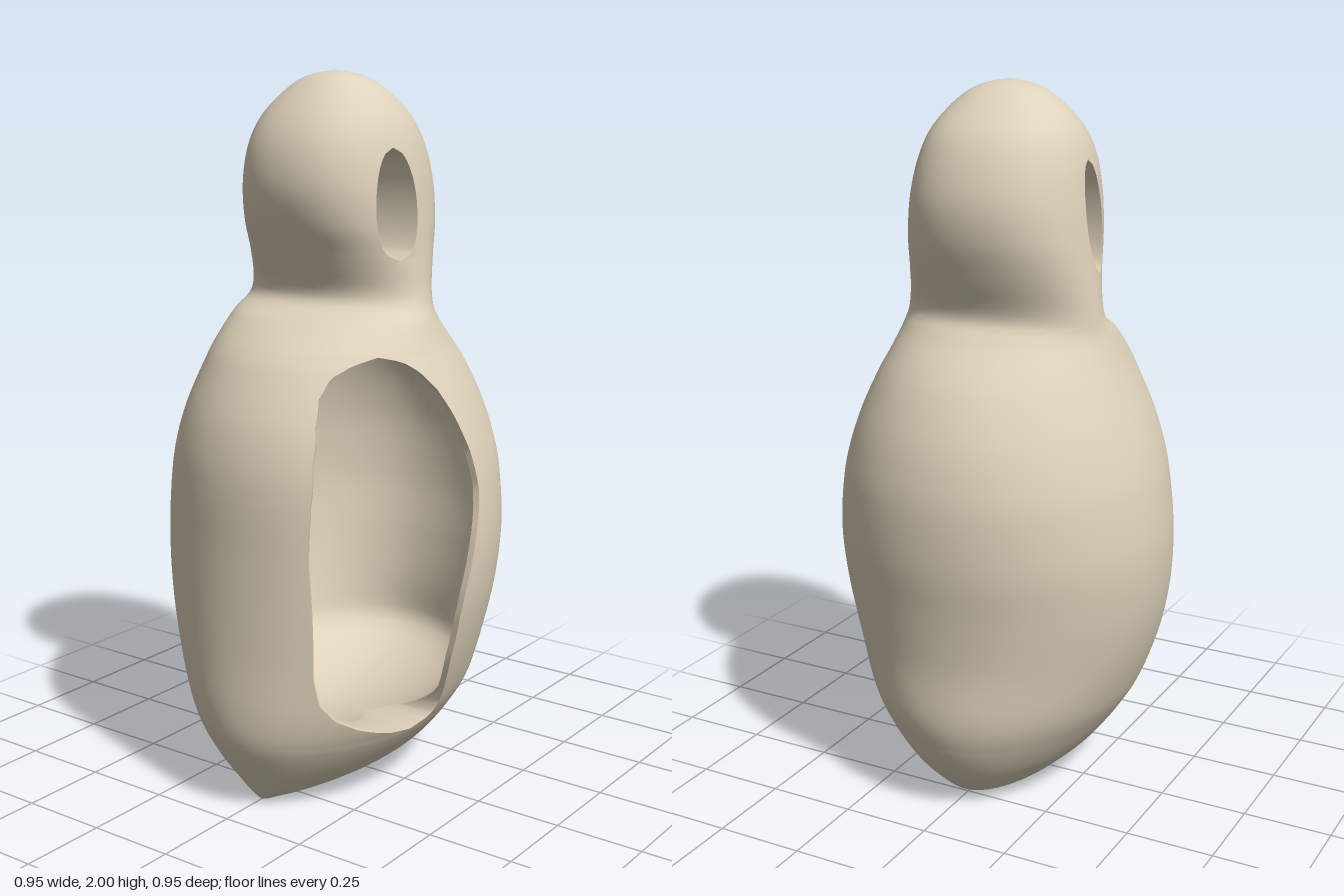
import * as THREE from 'three';
import { toCreasedNormals } from 'three/addons/utils/BufferGeometryUtils.js';

// Cross-sections of the whole form: y, right x, left x, front depth, back depth
const SECTIONS = [
  [0, -0.345, 0.23, 0.05, 0.11], [0.02, -0.36, 0.275, 0.12, 0.155], [0.06, -0.387, 0.32, 0.192, 0.203],
  [0.12, -0.425, 0.37, 0.262, 0.262], [0.205, -0.465, 0.414, 0.33, 0.325], [0.3, -0.477, 0.438, 0.385, 0.38],
  [0.45, -0.472, 0.438, 0.437, 0.436], [0.6, -0.468, 0.452, 0.47, 0.468], [0.75, -0.466, 0.472, 0.478, 0.476],
  [0.9, -0.465, 0.475, 0.463, 0.46], [1.0, -0.455, 0.462, 0.44, 0.438], [1.1, -0.427, 0.432, 0.405, 0.405],
  [1.2, -0.375, 0.38, 0.36, 0.365], [1.265, -0.325, 0.327, 0.328, 0.34], [1.335, -0.23, 0.25, 0.298, 0.317],
  [1.39, -0.125, 0.212, 0.274, 0.302], [1.5, -0.16, 0.252, 0.257, 0.286], [1.6, -0.208, 0.283, 0.248, 0.274],
  [1.7, -0.23, 0.29, 0.237, 0.262], [1.8, -0.217, 0.265, 0.217, 0.243], [1.88, -0.176, 0.22, 0.183, 0.208],
  [1.95, -0.112, 0.139, 0.125, 0.139], [1.985, -0.061, 0.077, 0.07, 0.077], [2, 0, 0, 0, 0],
];
// Edges of the front opening: y, x of one side, x of the other
const OPENING = [
  [0, -0.09, -0.09], [0.205, -0.09, -0.09], [0.215, -0.16, -0.04], [0.23, -0.21, -0.018], [0.26, -0.29, -0.01],
  [0.3, -0.355, -0.018], [0.35, -0.392, -0.03], [0.42, -0.405, -0.045], [0.55, -0.41, -0.052], [0.62, -0.412, -0.045],
  [0.75, -0.415, -0.01], [0.84, -0.412, 0.018], [0.9, -0.408, 0.028], [1.0, -0.395, 0.016], [1.1, -0.367, -0.014],
  [1.17, -0.335, -0.045], [1.22, -0.295, -0.085], [1.25, -0.24, -0.125], [1.265, -0.18, -0.18],
  [1.5, -0.03, -0.03], [1.8, -0.03, -0.03], [2, 0, 0],
];
const SUB = 6, SEG = 40, WALL = 0.018;
const FLOOR = 0.185, ROOF = 1.325; // ends of the cavity

function edgesAt(y) {
  const k = Math.max(1, OPENING.findIndex((o) => o[0] >= y));
  const a = OPENING[k - 1], b = OPENING[k], t = (y - a[0]) / (b[0] - a[0]);
  return [1, 2].map((i) => THREE.MathUtils.lerp(a[i], b[i], t));
}

// Smooth rows between the given sections
function makeRows() {
  const rows = [{ y: 0, cx: -0.06, rx: 1e-4, zf: 0, zb: 0 }], n = SECTIONS.length; // starts at the base centre
  const at = (i) => SECTIONS[THREE.MathUtils.clamp(i, 0, n - 1)];
  for (let i = 0; i < n - 1; i++) {
    for (let s = 0; s < (i === n - 2 ? SUB + 1 : SUB); s++) {
      const t = s / SUB;
      const v = at(i).map((p1, c) => {
        const p0 = at(i - 1)[c], p2 = at(i + 1)[c], p3 = at(i + 2)[c];
        return p1 + 0.5 * t * (p2 - p0 + t * (2 * p0 - 5 * p1 + 4 * p2 - p3 + t * (3 * (p1 - p2) + p3 - p0)));
      });
      rows.push({
        y: THREE.MathUtils.clamp(v[0], 0, 2), cx: (v[1] + v[2]) / 2,
        rx: Math.max(1e-4, (v[2] - v[1]) / 2), zf: Math.max(0, v[3]), zb: Math.max(0, v[4]),
      });
    }
  }
  return rows;
}

// Rounds the cavity off to a bowl below and a dome above
function bowl(y) {
  const q = Math.max(0, (FLOOR + 0.15 - y) / 0.15, (y - ROOF + 0.12) / 0.12);
  return Math.sqrt(Math.max(0, 1 - q * q));
}

// Two arcs of a row, from the front gap round to the back gap on each side
function arcs(r, wall = 0, scale = 1, backDepth = 1) {
  const [fl, fr] = edgesAt(r.y);
  const q = (r.y - 1.65) / 0.15;
  const h = Math.sqrt(Math.max(0, 1 - q * q)); // eyelet width, 0 to 1
  const front = 0.072 * h, rear = 0.053 * h;
  const angle = (x) => Math.asin(THREE.MathUtils.clamp((x - r.cx) / r.rx, -0.97, 0.97));
  const back = r.y > 1.3 ? 0.014 : 0;
  // The head is a little fuller than an ellipse on its diagonals
  const full = 0.04 * THREE.MathUtils.smoothstep(r.y, 1.4, 1.6);
  const point = (a) => {
    const c = Math.cos(a), z = c > 0 ? r.zf : r.zb * backDepth;
    const k = scale * (1 + full * Math.sin(2 * a) ** 2);
    return [r.cx + k * Math.max(0, r.rx - wall) * Math.sin(a), r.y, k * Math.max(0, z - wall) * c];
  };
  const arc = (a, b) => Array.from({ length: SEG + 1 }, (_, j) => point(a + (b - a) * j / SEG));
  return {
    left: arc(angle(fr + front), Math.PI - angle(back + rear)),
    right: arc(-Math.PI - angle(back - rear), angle(fl - front)),
  };
}
const innerArcs = (r) => arcs(r, WALL, bowl(r.y), 0.82);

// Skin over rows of points, seen with points running rightward and rows upward
function sheet(out, rows) {
  for (let i = 0; i < rows.length - 1; i++) {
    for (let j = 0; j < rows[i].length - 1; j++) {
      const a = rows[i][j], b = rows[i][j + 1], c = rows[i + 1][j + 1], d = rows[i + 1][j];
      out.push(...a, ...b, ...c, ...a, ...c, ...d);
    }
  }
}

function addMesh(group, name, material, sheets) {
  const pos = [];
  sheets.forEach((s) => sheet(pos, s));
  const g = new THREE.BufferGeometry();
  g.setAttribute('position', new THREE.Float32BufferAttribute(pos, 3));
  const mesh = new THREE.Mesh(toCreasedNormals(g, 1.1), material);
  mesh.name = name;
  group.add(mesh);
}

export function createModel() {
  const group = new THREE.Group();
  group.name = 'hollowFigure';
  const clay = new THREE.MeshStandardMaterial({ color: 0xded2ba });
  clay.name = 'warm clay';
  const rows = makeRows();
  const between = (a, b) => rows.filter((r) => r.y > a - 1e-6 && r.y < b + 1e-6);
  const last = (p) => p[p.length - 1];

  // Body and head in one continuous skin
  const outer = rows.map((r) => arcs(r));
  addMesh(group, 'bodyAndHead', clay, [outer.map((o) => o.left), outer.map((o) => o.right)]);

  // Hollow inside the body, closed by a rounded floor and roof
  const cavityRows = between(FLOOR, ROOF);
  const cavity = cavityRows.map(innerArcs);
  const pole = (r, y) => Array.from({ length: SEG + 1 }, () => [r.cx, y, 0]);
  const closed = (side) => [
    pole(cavityRows[0], FLOOR),
    ...cavity.map((c) => c[side].slice().reverse()),
    pole(last(cavityRows), ROOF),
  ];
  // Rim across the wall around the opening, running into the bowl
  const rim = between(0.205, 1.265).map((r) => [arcs(r), innerArcs(r)]);
  addMesh(group, 'cavityAndRim', clay, [
    closed('left'), closed('right'),
    rim.map(([o, i]) => [i.left[0], o.left[0]]),
    rim.map(([o, i]) => [last(o.right), last(i.right)]),
  ]);

  // Slanted eyelet through the head
  const hole = between(1.5, 1.8).map((r) => arcs(r));
  addMesh(group, 'eyelet', clay, [
    hole.map((o) => [last(o.left), o.left[0]]),
    hole.map((o) => [last(o.right), o.right[0]]),
  ]);
  return group;
}
